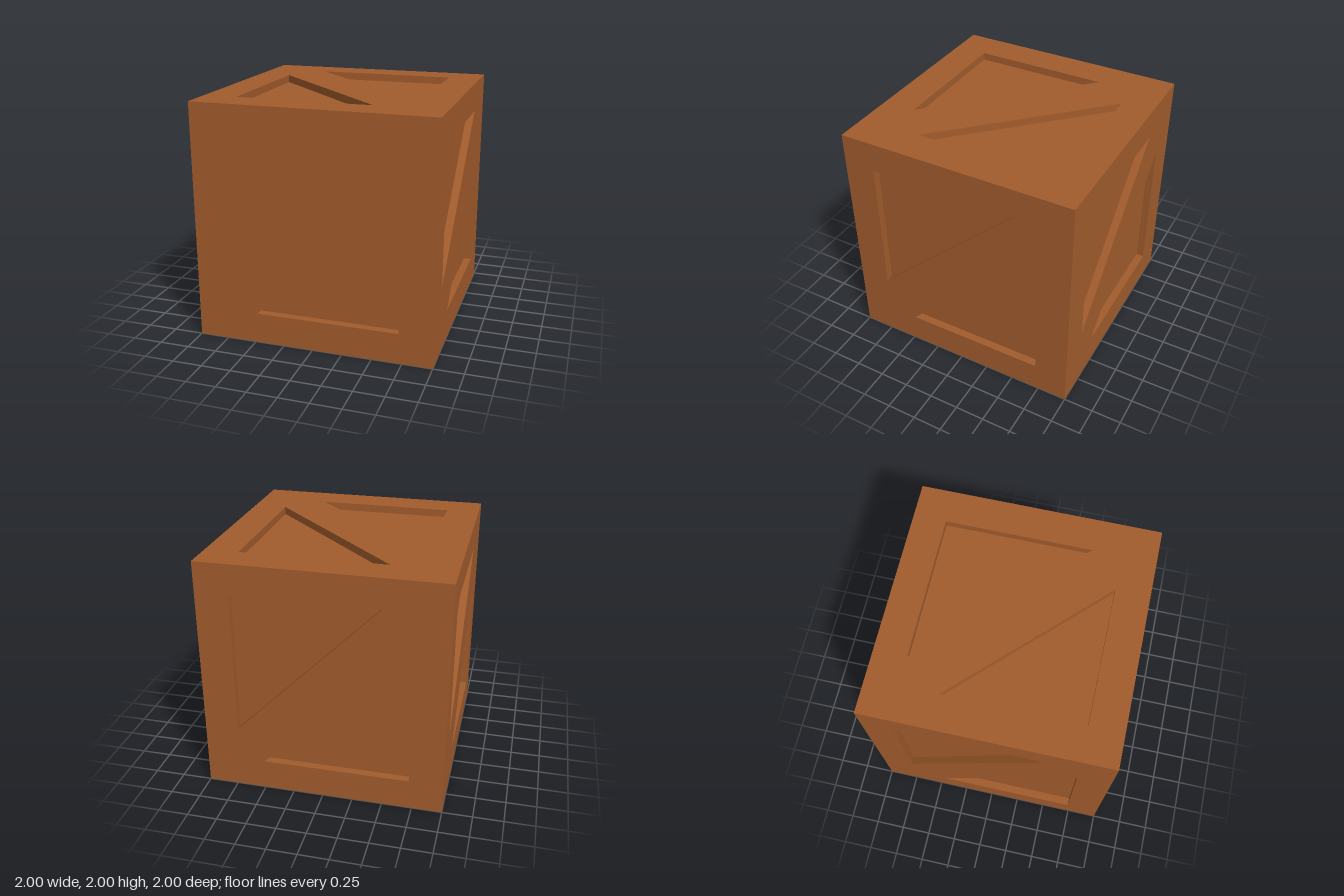
import * as THREE from 'three';

const DEPTH = 0.065;

// Each triangular recess: [corner u, corner v, end of the u leg, end of the v leg]
const SIDES = [
  { name: 'front', rot: [0, 0, 0], tris: [[-0.73, 0.75, 0.49, -0.47], [0.72, -0.74, -0.48, 0.45]] },
  { name: 'left', rot: [0, Math.PI / 2, 0], tris: [[-0.73, 0.75, 0.52, -0.42], [0.72, -0.74, -0.47, 0.46]] },
  { name: 'back', rot: [0, Math.PI, 0], tris: [[-0.72, 0.75, 0.48, -0.46], [0.72, -0.74, -0.5, 0.46]] },
  { name: 'right', rot: [0, -Math.PI / 2, 0], tris: [[-0.73, 0.75, 0.46, -0.42], [0.73, -0.74, -0.45, 0.45]] },
  { name: 'top', rot: [-Math.PI / 2, 0, 0], tris: [[0.72, 0.73, -0.48, -0.48], [-0.72, -0.72, 0.42, 0.42]] },
  { name: 'bottom', rot: [Math.PI / 2, 0, 0], tris: [[0.72, -0.73, -0.48, 0.48], [-0.72, 0.72, 0.45, -0.45]] },
];

// Counter-clockwise corners of a right triangle
function corners([u, v, uEnd, vEnd]) {
  const pts = [new THREE.Vector2(u, v), new THREE.Vector2(uEnd, v), new THREE.Vector2(u, vEnd)];
  return THREE.ShapeUtils.isClockWise(pts) ? pts.reverse() : pts;
}

// Inward-facing walls of a recess
function wallGeometry(pts) {
  const pos = [];
  pts.forEach((a, i) => {
    const b = pts[(i + 1) % pts.length];
    const t = 1, d = 1 - DEPTH;
    pos.push(a.x, a.y, t, b.x, b.y, t, b.x, b.y, d);
    pos.push(a.x, a.y, t, b.x, b.y, d, a.x, a.y, d);
  });
  const geo = new THREE.BufferGeometry();
  geo.setAttribute('position', new THREE.Float32BufferAttribute(pos, 3));
  geo.computeVertexNormals();
  return geo;
}

export function createModel() {
  const wood = new THREE.MeshStandardMaterial({ name: 'brown wood', color: 0xa35d2d });
  const crate = new THREE.Group();
  crate.name = 'crate';

  for (const { name, rot, tris } of SIDES) {
    const side = new THREE.Group();
    side.name = name + 'Side';
    const add = (geo, part) => {
      const mesh = new THREE.Mesh(geo, wood);
      mesh.name = name + part;
      side.add(mesh);
    };

    // Outer frame with its diagonal brace
    const frame = new THREE.Shape([[-1, -1], [1, -1], [1, 1], [-1, 1]].map(p => new THREE.Vector2(...p)));
    const holes = tris.map(corners);
    holes.forEach(pts => frame.holes.push(new THREE.Path([...pts, pts[0]])));
    add(new THREE.ShapeGeometry(frame).translate(0, 0, 1), 'Frame');

    // Sunken panels and the walls around them
    holes.forEach((pts, i) => {
      add(new THREE.ShapeGeometry(new THREE.Shape(pts)).translate(0, 0, 1 - DEPTH), 'Panel' + (i + 1));
      add(wallGeometry(pts), 'RecessWalls' + (i + 1));
    });

    side.rotation.set(...rot);
    side.position.y = 1;
    crate.add(side);
  }
  return crate;
}
